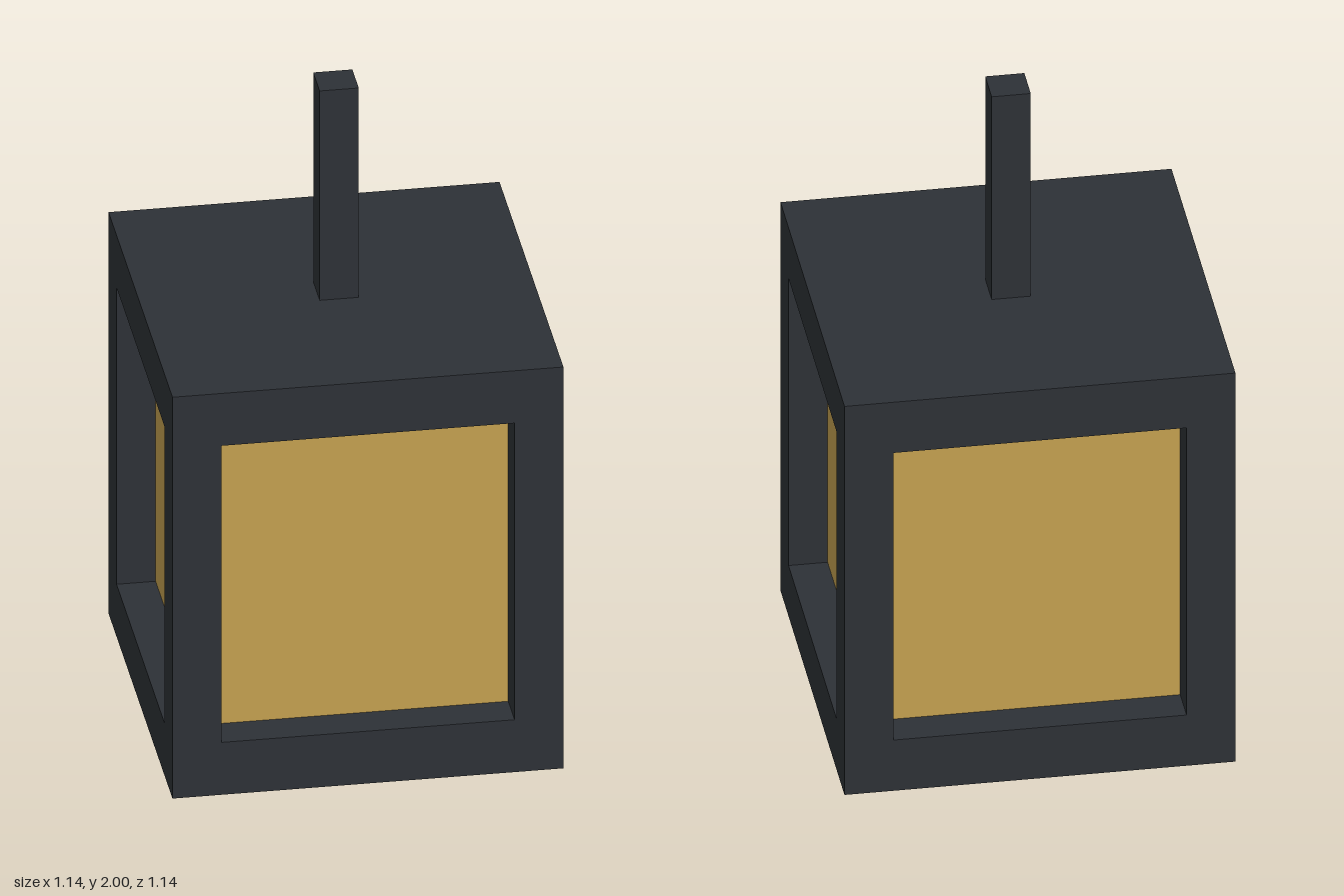
import * as THREE from 'three';

const U = 2 / 17.5; // base module: the hanging rod is one unit thick

export function createModel() {
  const lantern = new THREE.Group();
  lantern.name = 'lantern';
  const iron = new THREE.MeshStandardMaterial({ color: 0x2d3136 });
  const amber = new THREE.MeshStandardMaterial({ color: 0xc4a150 });

  // Box in module units, placed by the height of its underside
  const addBox = (name, width, height, material, bottom, x = 0, z = 0) => {
    const mesh = new THREE.Mesh(new THREE.BoxGeometry(width * U, height * U, width * U), material);
    mesh.name = name;
    mesh.position.set(x * U, (bottom + height / 2) * U, z * U);
    lantern.add(mesh);
  };

  // Base, roof and hanging rod
  addBox('base', 10, 1.5, iron, 0);
  addBox('roof', 10, 1.5, iron, 10);
  addBox('hangingRod', 1, 6, iron, 11.5);

  // Glass block, set back behind the frame
  addBox('glass', 8, 8.5, amber, 1.5);

  // Corner posts
  const post = 1.25;
  const offset = 5 - post / 2;
  for (const [sx, side] of [[1, 'Left'], [-1, 'Right']]) {
    for (const [sz, end] of [[1, 'front'], [-1, 'back']]) {
      addBox(`${end}${side}Post`, post, 8.5, iron, 1.5, sx * offset, sz * offset);
    }
  }

  return lantern;
}
